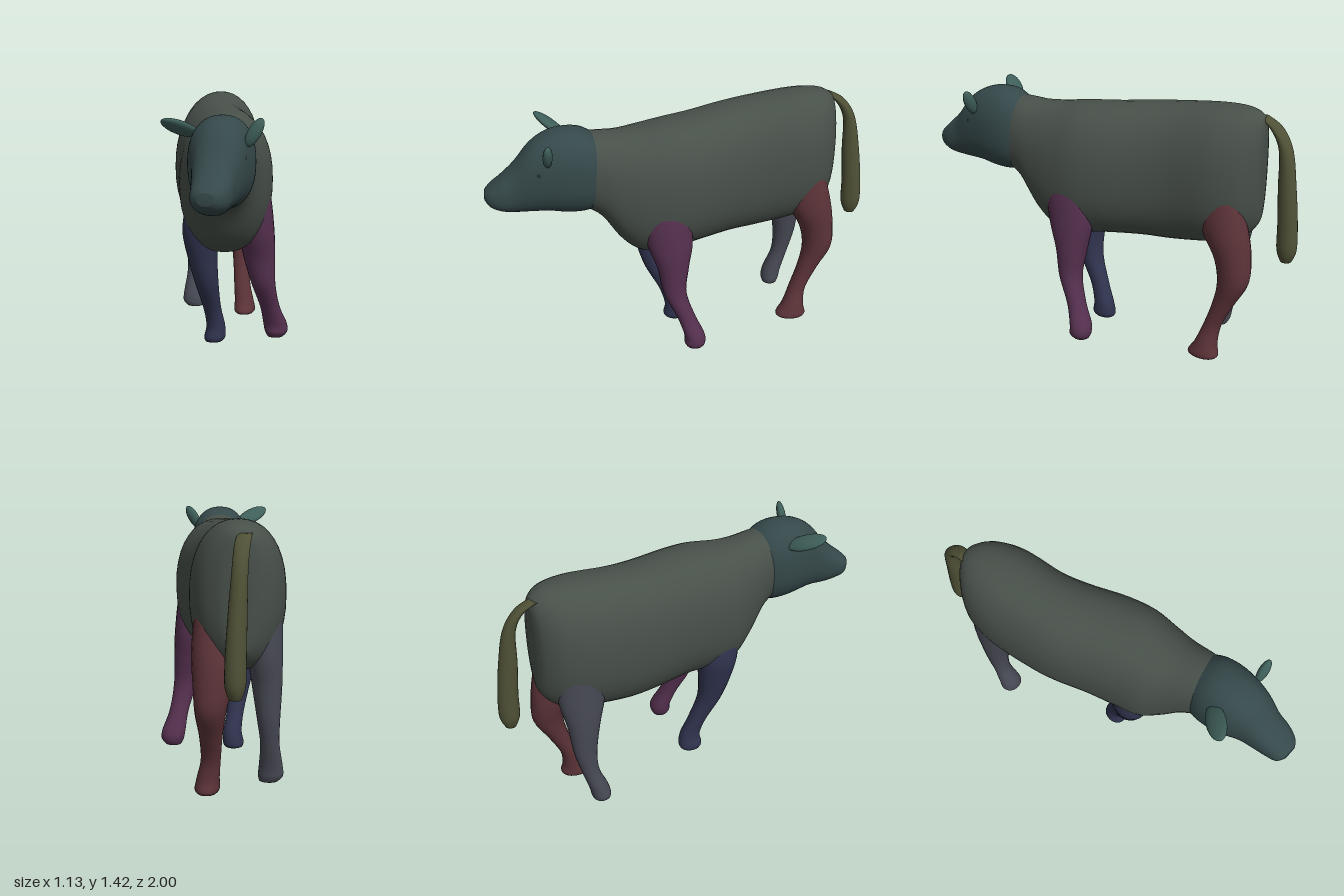
import * as THREE from 'three';

// Catmull-Rom resampling of rows of numbers
function resample(rows, steps) {
  const out = [];
  const cr = (a, b, c, d, t) => b + 0.5 * t * (c - a + t * (2 * a - 5 * b + 4 * c - d + t * (3 * (b - c) + d - a)));
  for (let i = 0; i < rows.length - 1; i++) {
    const p = [rows[Math.max(i - 1, 0)], rows[i], rows[i + 1], rows[Math.min(i + 2, rows.length - 1)]];
    for (let s = 0; s < steps; s++) out.push(rows[i].map((_, k) => cr(p[0][k], p[1][k], p[2][k], p[3][k], s / steps)));
  }
  out.push(rows[rows.length - 1]);
  return out;
}

// Skin through rings { c, u, v }: centre and two half-axis vectors, u x v pointing along the loft
function skin(rings, power, segs = 40) {
  const pos = [], idx = [];
  const round = (n) => Math.sign(n) * Math.pow(Math.abs(n), 2 / power);
  for (const { c, u, v } of rings) {
    for (let j = 0; j < segs; j++) {
      const t = (j / segs) * Math.PI * 2;
      const p = c.clone().addScaledVector(u, round(Math.cos(t))).addScaledVector(v, round(Math.sin(t)));
      pos.push(p.x, p.y, p.z);
    }
  }
  for (let i = 0; i < rings.length - 1; i++) {
    for (let j = 0; j < segs; j++) {
      const a = i * segs + j, b = i * segs + ((j + 1) % segs), c = a + segs, d = b + segs;
      idx.push(a, b, c, b, d, c);
    }
  }
  // Close both ends
  const last = rings.length - 1;
  [[0, 1], [last, 0]].forEach(([r, flip]) => {
    const mid = pos.length / 3, o = r * segs;
    pos.push(rings[r].c.x, rings[r].c.y, rings[r].c.z);
    for (let j = 0; j < segs; j++) {
      const k = (j + 1) % segs;
      if (flip) idx.push(mid, o + k, o + j);
      else idx.push(mid, o + j, o + k);
    }
  });
  const g = new THREE.BufferGeometry();
  g.setAttribute('position', new THREE.Float32BufferAttribute(pos, 3));
  g.setIndex(idx);
  g.computeVertexNormals();
  return g;
}

// Rows: x, z, top, bottom, half width; upright rings, heading easing from one angle to another
function trunk(rows, power, from, to) {
  const s = resample(rows, 6);
  return skin(s.map(([x, z, top, bottom, w], i) => {
    const a = THREE.MathUtils.lerp(from, to, i / (s.length - 1));
    return {
      c: new THREE.Vector3(x, (top + bottom) / 2, z),
      u: new THREE.Vector3(Math.cos(a), 0, -Math.sin(a)).multiplyScalar(w),
      v: new THREE.Vector3(0, (top - bottom) / 2, 0),
    };
  }), power);
}

// Rows from top to bottom: x, y, z, half width, half depth; rings lie flat, turned by heading
function limb(rows, heading) {
  const sn = Math.sin(heading), cs = Math.cos(heading);
  return skin(resample(rows, 6).map(([x, y, z, w, d]) => ({
    c: new THREE.Vector3(x, y, z),
    u: new THREE.Vector3(cs, 0, -sn).multiplyScalar(w),
    v: new THREE.Vector3(sn, 0, cs).multiplyScalar(d),
  })), 2.1, 24);
}

export function createModel() {
  const cow = new THREE.Group();
  cow.name = 'cow';
  const add = (name, geometry, color) => {
    const m = new THREE.Mesh(geometry, new THREE.MeshStandardMaterial({ color }));
    m.name = name;
    cow.add(m);
    return m;
  };

  // Rump, waist, barrel, shoulders and neck
  add('body', trunk([
    [-0.436, -0.787, 1.34, 0.86, 0.05],
    [-0.427, -0.769, 1.39, 0.78, 0.12],
    [-0.388, -0.70, 1.425, 0.70, 0.20],
    [-0.32, -0.566, 1.43, 0.66, 0.245],
    [-0.223, -0.356, 1.41, 0.63, 0.247],
    [-0.134, -0.211, 1.395, 0.63, 0.257],
    [-0.011, -0.051, 1.38, 0.625, 0.265],
    [0.075, 0.084, 1.37, 0.605, 0.262],
    [0.138, 0.22, 1.35, 0.61, 0.24],
    [0.195, 0.32, 1.345, 0.70, 0.20],
    [0.25, 0.42, 1.355, 0.87, 0.165],
    [0.30, 0.52, 1.36, 0.95, 0.14],
  ], 2.25, 0.51, 0.45), 0x48504a);

  // Head tapering to the muzzle
  add('head', trunk([
    [0.255, 0.41, 1.335, 0.95, 0.135],
    [0.285, 0.49, 1.385, 0.92, 0.165],
    [0.32, 0.58, 1.395, 0.92, 0.17],
    [0.355, 0.67, 1.375, 0.935, 0.155],
    [0.39, 0.75, 1.32, 0.94, 0.13],
    [0.415, 0.83, 1.22, 0.94, 0.11],
    [0.44, 0.90, 1.15, 0.95, 0.10],
    [0.452, 0.96, 1.10, 0.975, 0.08],
    [0.46, 0.99, 1.07, 1.01, 0.04],
  ], 2.3, 0.45, 0.25), 0x35484a);

  // Ears
  const ear = (name, from, to, width) => {
    const a = new THREE.Vector3(...from), b = new THREE.Vector3(...to);
    const dir = b.clone().sub(a);
    const m = add(name, new THREE.SphereGeometry(1, 20, 14), 0x3f5f5a);
    m.scale.set(width, dir.length() / 2, 0.025);
    m.position.copy(a).add(b).multiplyScalar(0.5);
    m.quaternion.setFromUnitVectors(new THREE.Vector3(0, 1, 0), dir.normalize());
  };
  ear('rightEar', [0.20, 1.29, 0.60], [0.11, 1.38, 0.80], 0.055);
  ear('leftEar', [0.48, 1.25, 0.62], [0.555, 1.39, 0.59], 0.035);

  // Eyes
  [['rightEye', 0.25, 0.73], ['leftEye', 0.485, 0.665]].forEach(([name, x, z]) => {
    const eye = add(name, new THREE.SphereGeometry(0.022, 16, 12), 0x25302f);
    eye.position.set(x, 1.2, z);
  });

  // Legs: shoulder or haunch, joint, shank, hoof
  add('rightFrontLeg', limb([
    [0.01, 1.05, 0.17, 0.04, 0.08],
    [-0.01, 0.88, 0.19, 0.085, 0.12],
    [-0.02, 0.72, 0.20, 0.10, 0.12],
    [-0.015, 0.56, 0.19, 0.082, 0.095],
    [-0.005, 0.40, 0.16, 0.065, 0.07],
    [-0.01, 0.24, 0.09, 0.05, 0.055],
    [-0.01, 0.13, 0.05, 0.053, 0.06],
    [-0.015, 0.06, 0.05, 0.06, 0.07],
    [-0.02, 0.035, 0.05, 0.05, 0.06],
  ], 0.2), 0x30344f);
  add('leftFrontLeg', limb([
    [0.24, 1.10, 0.06, 0.04, 0.08],
    [0.245, 0.92, 0.05, 0.08, 0.13],
    [0.24, 0.72, 0.03, 0.10, 0.13],
    [0.25, 0.56, 0.01, 0.09, 0.09],
    [0.27, 0.40, -0.005, 0.068, 0.065],
    [0.28, 0.25, -0.07, 0.056, 0.052],
    [0.29, 0.14, -0.12, 0.068, 0.058],
    [0.295, 0.09, -0.125, 0.065, 0.06],
    [0.29, 0.06, -0.125, 0.045, 0.045],
  ], 0.3), 0x55304f);
  add('rightHindLeg', limb([
    [-0.43, 1.28, -0.54, 0.05, 0.08],
    [-0.45, 1.10, -0.53, 0.085, 0.13],
    [-0.46, 0.80, -0.55, 0.092, 0.13],
    [-0.475, 0.60, -0.55, 0.078, 0.09],
    [-0.485, 0.42, -0.55, 0.06, 0.065],
    [-0.485, 0.28, -0.53, 0.05, 0.05],
    [-0.475, 0.15, -0.49, 0.062, 0.055],
    [-0.47, 0.09, -0.48, 0.066, 0.055],
    [-0.46, 0.06, -0.48, 0.05, 0.045],
  ], 0.3), 0x484a55);
  add('leftHindLeg', limb([
    [-0.21, 1.15, -0.64, 0.05, 0.08],
    [-0.22, 0.98, -0.66, 0.085, 0.12],
    [-0.245, 0.78, -0.70, 0.11, 0.13],
    [-0.265, 0.62, -0.75, 0.10, 0.10],
    [-0.26, 0.48, -0.765, 0.08, 0.085],
    [-0.24, 0.34, -0.72, 0.06, 0.06],
    [-0.215, 0.20, -0.67, 0.052, 0.05],
    [-0.19, 0.09, -0.65, 0.06, 0.065],
    [-0.18, 0.03, -0.64, 0.066, 0.09],
    [-0.18, 0.01, -0.64, 0.055, 0.08],
  ], 0.3), 0x5c3338);

  // Tail hanging behind the rump, widening into the tuft
  add('tail', limb([
    [-0.44, 1.38, -0.75, 0.035, 0.03],
    [-0.46, 1.33, -0.83, 0.04, 0.03],
    [-0.475, 1.22, -0.89, 0.04, 0.035],
    [-0.475, 1.02, -0.915, 0.045, 0.05],
    [-0.475, 0.82, -0.935, 0.05, 0.055],
    [-0.475, 0.68, -0.94, 0.05, 0.055],
    [-0.475, 0.61, -0.94, 0.03, 0.03],
  ], 0), 0x4f5136);

  return cow;
}
